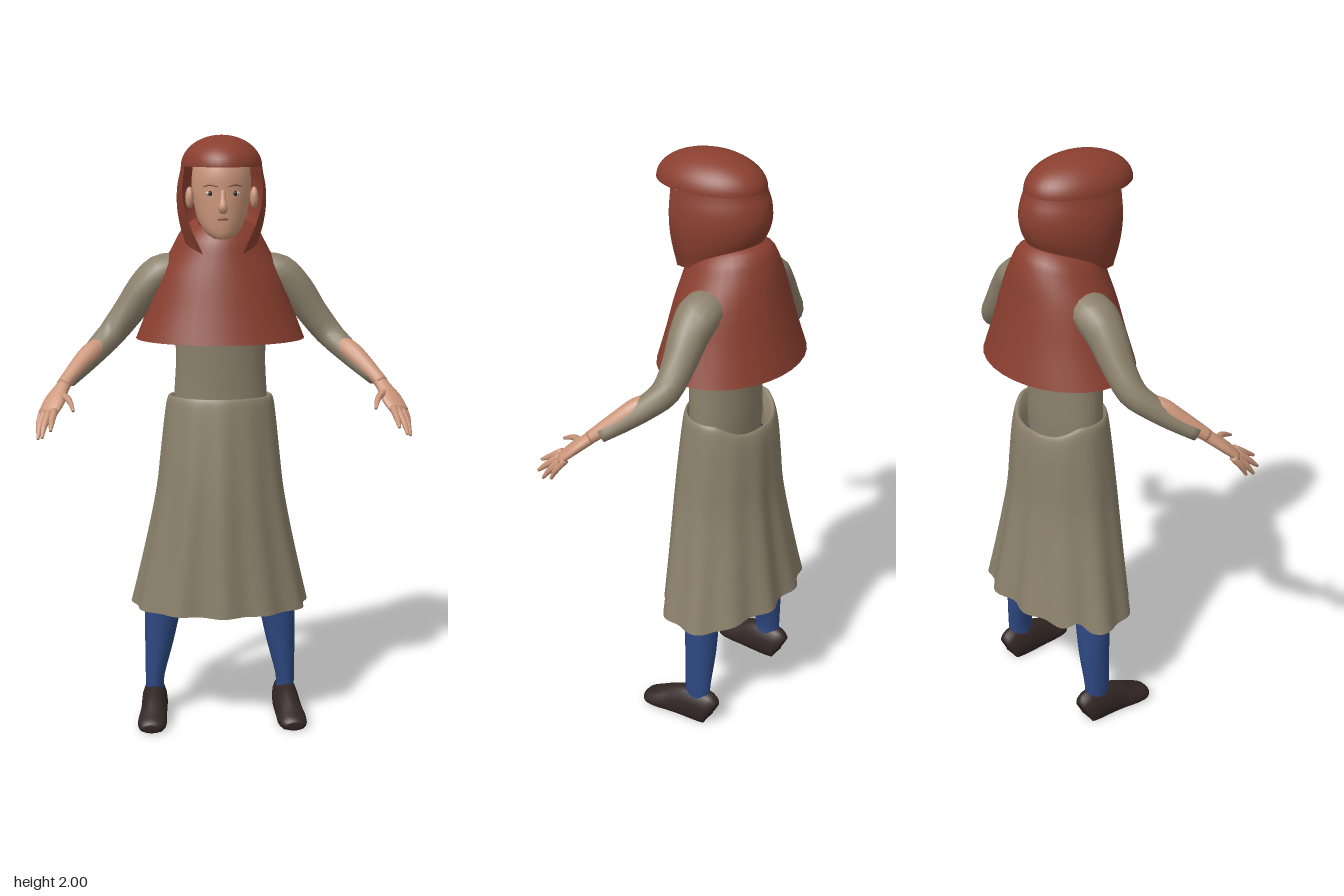
import * as THREE from 'three';

const mat = (name, color, side = THREE.FrontSide) => {
  const m = new THREE.MeshStandardMaterial({ color, side });
  m.name = name;
  return m;
};

// Catmull-Rom refinement of rows of numbers (all rows of equal length)
function refine(rows, k = 3) {
  const out = [];
  const at = i => rows[Math.min(Math.max(i, 0), rows.length - 1)];
  for (let i = 0; i < rows.length - 1; i++) {
    const [a, b, c, d] = [at(i - 1), at(i), at(i + 1), at(i + 2)];
    for (let s = 0; s < k; s++) {
      const t = s / k;
      out.push(b.map((p, n) => 0.5 * (2 * p + (c[n] - a[n]) * t +
        (2 * a[n] - 5 * p + 4 * c[n] - d[n]) * t * t + (3 * p - a[n] - 3 * c[n] + d[n]) * t * t * t)));
    }
  }
  out.push(rows[rows.length - 1]);
  return out;
}

// Skin a list of rings; rings run counterclockwise about the direction of travel
function loft(rings, { closed = true, caps = true } = {}) {
  const n = rings[0].length, pos = rings.flat(2), idx = [];
  for (let i = 0; i < rings.length - 1; i++) {
    for (let j = 0; j < (closed ? n : n - 1); j++) {
      const a = i * n + j, b = i * n + (j + 1) % n;
      idx.push(a, b, a + n, b, b + n, a + n);
    }
  }
  if (caps) {
    [0, rings.length - 1].forEach((r, end) => {
      const c = pos.length / 3;
      pos.push(...[0, 1, 2].map(k => rings[r].reduce((s, p) => s + p[k], 0) / n));
      for (let j = 0; j < n; j++) {
        const a = r * n + j, b = r * n + (j + 1) % n;
        idx.push(c, end ? a : b, end ? b : a);
      }
    });
  }
  const g = new THREE.BufferGeometry();
  g.setAttribute('position', new THREE.Float32BufferAttribute(pos, 3));
  g.setIndex(idx);
  g.computeVertexNormals();
  return g;
}

// Tapered limb through rows [x, y, z, width, height = width]; floor flattens the underside
function limb(rows, { ref = [0, 1, 0], sides = 14, floor = -1 } = {}) {
  const r = refine(rows.map(([x, y, z, w, h = w]) => [x, y, z, w, h]));
  const up = new THREE.Vector3(...ref);
  const P = r.map(p => new THREE.Vector3(p[0], p[1], p[2]));
  return loft(r.map((row, i) => {
    const t = P[Math.min(i + 1, P.length - 1)].clone().sub(P[Math.max(i - 1, 0)]).normalize();
    const u = t.clone().cross(up).normalize(), v = t.clone().cross(u);
    return Array.from({ length: sides }, (_, j) => {
      const a = j / sides * Math.PI * 2;
      const p = P[i].clone().addScaledVector(u, Math.cos(a) * row[3]).addScaledVector(v, Math.sin(a) * row[4]);
      return [p.x, Math.max(p.y, floor), p.z];
    });
  }));
}

// Upright body through rows [halfWidth, zFront, zBack, yFront, yBack = yFront], bottom to top
function upright(rows, { sides = 32, caps = true, k = 3, warp = p => p } = {}) {
  const r = refine(rows.map(([w, zf, zb, yf, yb = yf]) => [w, zf, zb, yf, yb]), k);
  return loft(r.map(([rx, zf, zb, yf, yb], i) => Array.from({ length: sides }, (_, j) => {
    const a = j / sides * Math.PI * 2, f = (1 + Math.cos(a)) / 2;
    return warp([Math.sin(a) * rx, yb + (yf - yb) * f, zb + (zf - zb) * f], a, i / (r.length - 1));
  })), { caps });
}

export function createModel() {
  const model = new THREE.Group();
  const red = mat('red wool', 0x8a3f2f, THREE.DoubleSide);
  const linen = mat('taupe linen', 0x8b806b, THREE.DoubleSide);
  const blue = mat('blue hose', 0x2d4882);
  const leather = mat('dark leather', 0x322624);
  const skin = mat('skin', 0xcb967a);
  const white = mat('eye white', 0xcfc2b8);
  const dark = mat('eye dark', 0x2e231f);
  const lip = mat('lips and brows', 0x9a6650);
  const add = (name, geo, m) => {
    const mesh = new THREE.Mesh(geo, m);
    mesh.name = name;
    model.add(mesh);
    return mesh;
  };
  const ball = (name, m, p, s) => {
    const mesh = add(name, new THREE.SphereGeometry(1, 16, 12), m);
    mesh.position.set(...p);
    mesh.scale.set(...s);
  };

  // Head and face
  add('head', upright([
    [0.028, 0.085, 0.02, 1.668], [0.055, 0.094, -0.03, 1.688], [0.078, 0.098, -0.07, 1.73],
    [0.09, 0.1, -0.09, 1.78], [0.097, 0.1, -0.1, 1.82], [0.096, 0.1, -0.1, 1.87],
    [0.085, 0.085, -0.09, 1.92], [0.04, 0.05, -0.05, 1.95]]), skin);
  add('neck', upright([[0.065, 0.03, -0.11, 1.56], [0.055, 0.035, -0.09, 1.72]]), skin);
  add('nose', limb([[0, 1.825, 0.094, 0.008], [0, 1.795, 0.103, 0.01], [0, 1.77, 0.108, 0.016, 0.015],
    [0, 1.758, 0.1, 0.012]], { ref: [0, 0, 1] }), skin);
  add('mouth', limb([[-0.027, 1.73, 0.087, 0.002], [0, 1.735, 0.098, 0.006], [0.027, 1.73, 0.087, 0.002]]), lip);
  for (const s of [-1, 1]) {
    ball('ear', skin, [s * 0.105, 1.8, 0.035], [0.014, 0.035, 0.022]);
    ball('eye', white, [s * 0.04, 1.815, 0.083], [0.016, 0.008, 0.012]);
    ball('pupil', dark, [s * 0.04, 1.815, 0.088], [0.008, 0.008, 0.009]);
    add('eyebrow', limb([[s * 0.016, 1.837, 0.098, 0.003], [s * 0.04, 1.843, 0.091, 0.004],
      [s * 0.062, 1.836, 0.077, 0.002]]), lip);
  }

  // Hood: dome with a forward brim, then a shell open at the face with two tapering tails
  const dome = add('hoodDome', new THREE.SphereGeometry(1, 40, 12, 0, Math.PI * 2, 0, Math.PI / 2), red);
  dome.scale.set(0.132, 0.1, 0.189);
  dome.position.set(0, 1.9, 0.01);
  const shell = refine([[0.12, -0.165], [0.137, -0.187], [0.146, -0.197], [0.144, -0.193], [0.132, -0.178]], 4);
  add('hoodShell', loft(shell.map(([rx, zb], i) => {
    const v = 1 - i / (shell.length - 1), a0 = 1.19;
    return Array.from({ length: 33 }, (_, j) => {
      const a = a0 + j / 32 * (Math.PI * 2 - 2 * a0), c = Math.cos(a);
      const front = Math.max(0, c / 0.37);
      return [Math.sin(a) * rx * (1 - 0.42 * v * v * front),
        1.9 - v * (0.18 + 0.1 * Math.min(1, (1 + c) / 1.37)),
        0.01 + c * (c > 0 ? 0.19 + 0.05 * v * v : 0.01 - zb)];
    });
  }), { closed: false, caps: false }), red);

  // Shoulder cape
  add('cape', upright([
    [0.283, 0.155, -0.295, 1.33, 1.33], [0.24, 0.13, -0.265, 1.43, 1.45], [0.203, 0.107, -0.24, 1.53, 1.57],
    [0.16, 0.09, -0.222, 1.6, 1.66], [0.125, 0.075, -0.19, 1.655, 1.725], [0.075, 0.055, -0.11, 1.69, 1.745]],
  { caps: false }), red);

  // Tunic body
  add('tunic', upright([
    [0.14, 0.045, -0.14, 0.92], [0.155, 0.055, -0.15, 1.08], [0.155, 0.056, -0.15, 1.16], [0.15, 0.06, -0.148, 1.25],
    [0.153, 0.065, -0.15, 1.36], [0.165, 0.065, -0.165, 1.48], [0.13, 0.04, -0.15, 1.57], [0.07, 0.02, -0.1, 1.62]]), linen);

  // Skirt: folds deepening toward the hem, turned-in waistband sagging at the back
  add('skirt', upright([
    [0.3, 0.13, -0.285, 0.405], [0.257, 0.12, -0.255, 0.6], [0.218, 0.11, -0.228, 0.8], [0.202, 0.098, -0.22, 0.94],
    [0.189, 0.085, -0.212, 1.06], [0.179, 0.075, -0.2, 1.125], [0.166, 0.066, -0.185, 1.138], [0.157, 0.058, -0.16, 1.11]],
  {
    sides: 96, caps: false, k: 4, warp: ([x, y, z], a, h) => {
      const t = 1 - h, back = THREE.MathUtils.smoothstep(-Math.cos(a), 0.3, 0.95);
      const fold = 0.05 * t * t * (Math.cos(11 * a + 0.6 * Math.sin(2 * a)) + 0.4 * Math.sin(7 * a + 1));
      const tear = Math.exp(-(((a - 4.15) / 0.13) ** 2)) * t ** 6 * 0.03;
      return [x * (1 + fold * 0.5), y + back * (0.035 * t - 0.06 * h) + tear, (z + 0.07) * (1 + fold) - 0.07];
    }
  }), linen);

  for (const s of [-1, 1]) {
    const side = (rows, opt) => limb(rows.map(([x, ...r]) => [s * x, ...r]), opt);

    // Sleeve and the bare forearm showing on its upper side
    add('sleeve', side([
      [0.14, 1.56, -0.08, 0.065, 0.055], [0.2, 1.545, -0.078, 0.074, 0.062], [0.255, 1.49, -0.075, 0.064, 0.06],
      [0.31, 1.415, -0.075, 0.054, 0.052], [0.365, 1.345, -0.065, 0.047, 0.046],
      [0.41, 1.3, -0.025, 0.042, 0.04], [0.455, 1.258, 0.025, 0.036, 0.034], [0.505, 1.213, 0.085, 0.029, 0.026]]), linen);
    add('forearm', side([
      [0.385, 1.318, -0.04, 0.025], [0.425, 1.296, 0.0, 0.034], [0.46, 1.264, 0.037, 0.032],
      [0.5, 1.224, 0.087, 0.026, 0.024], [0.522, 1.2, 0.115, 0.024, 0.02]]), skin);

    // Hand
    add('palm', side([
      [0.51, 1.212, 0.1, 0.022, 0.02], [0.53, 1.185, 0.13, 0.028, 0.019], [0.548, 1.155, 0.165, 0.038, 0.017],
      [0.568, 1.122, 0.2, 0.036, 0.012]]), skin);
    const fingers = [
      [[0.546, 1.132, 0.207], [0.553, 1.105, 0.25], [0.555, 1.082, 0.288]],
      [[0.562, 1.126, 0.202], [0.577, 1.09, 0.245], [0.583, 1.058, 0.28]],
      [[0.576, 1.125, 0.187], [0.592, 1.085, 0.222], [0.598, 1.048, 0.25]],
      [[0.582, 1.13, 0.17], [0.596, 1.095, 0.195], [0.6, 1.058, 0.215]],
      [[0.528, 1.175, 0.15], [0.5, 1.165, 0.195], [0.484, 1.138, 0.25]]];
    fingers.forEach((f, i) => add(i === 4 ? 'thumb' : 'finger',
      side(f.map((p, n) => [...p, [0.013, 0.0105, 0.005][n]]), { sides: 8 }), skin));

    // Leg and shoe
    add('leg', side([
      [0.09, 0.98, -0.055, 0.085, 0.09], [0.125, 0.75, -0.06, 0.085, 0.085], [0.17, 0.52, -0.075, 0.068, 0.065],
      [0.195, 0.41, -0.08, 0.064, 0.06], [0.212, 0.27, -0.085, 0.05, 0.055], [0.228, 0.14, -0.084, 0.033, 0.048],
      [0.228, 0.08, -0.084, 0.032, 0.046]], { ref: [0, 0, 1], sides: 18 }), blue);
    add('shoe', side([
      [0.228, 0.04, -0.145, 0.028, 0.045], [0.228, 0.045, -0.13, 0.04, 0.068], [0.229, 0.045, -0.085, 0.045, 0.071],
      [0.231, 0.04, -0.035, 0.045, 0.07], [0.235, 0.03, 0.02, 0.046, 0.058], [0.24, 0.022, 0.07, 0.05, 0.04],
      [0.244, 0.018, 0.108, 0.043, 0.026], [0.245, 0.016, 0.124, 0.025, 0.014]], { sides: 18, floor: 0 }), leather);
  }
  return model;
}
